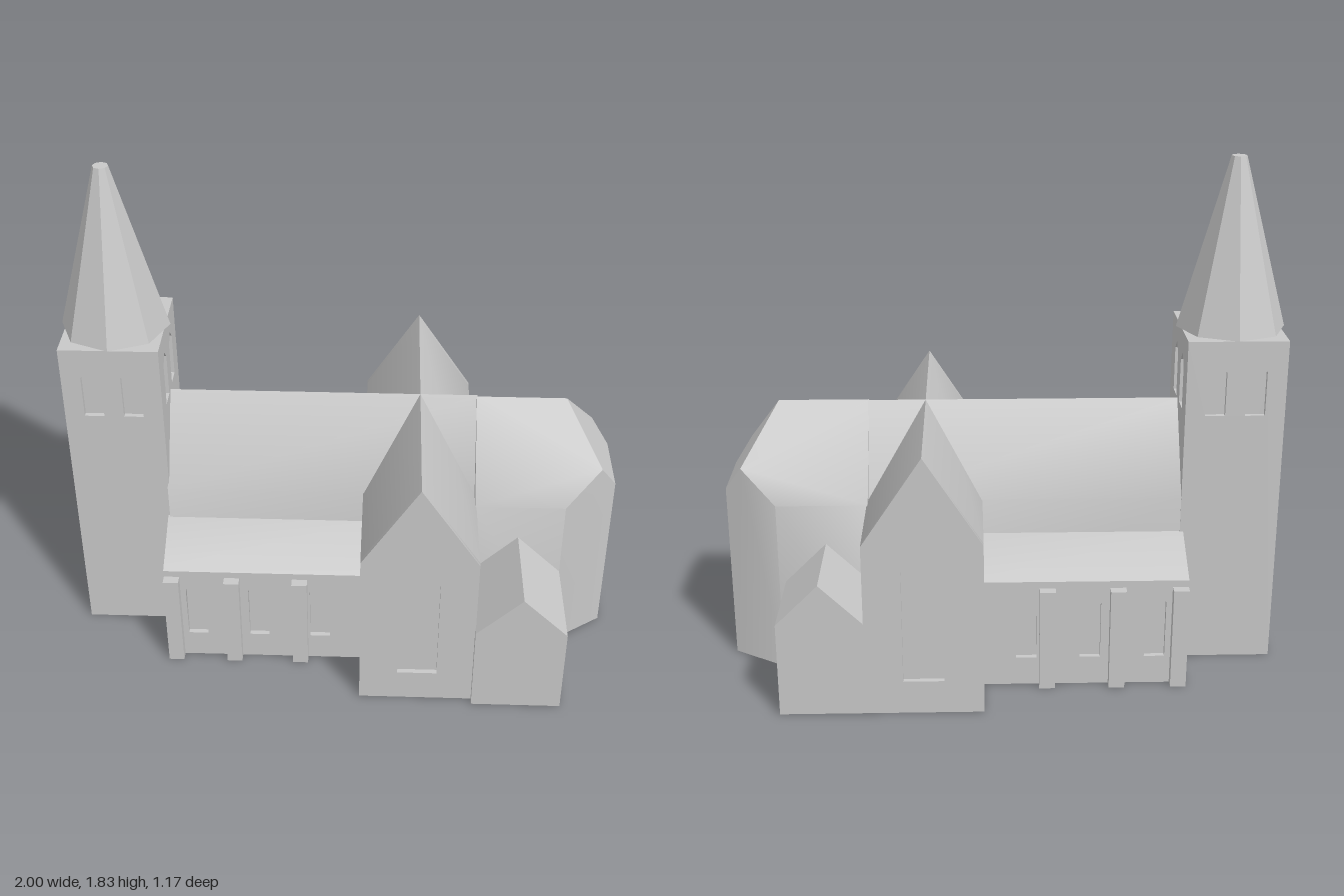
import * as THREE from 'three';
import { toCreasedNormals } from 'three/addons/utils/BufferGeometryUtils.js';
import { ConvexGeometry } from 'three/addons/geometries/ConvexGeometry.js';

const D = 0.018; // depth of window recesses
const FRONT = 0, BACK = Math.PI, EAST = Math.PI / 2, WEST = -Math.PI / 2;

const polygon = pts => new THREE.Shape(pts.map(p => new THREE.Vector2(...p)));
const rect = (u0, u1, top) => [[u0, 0], [u1, 0], [u1, top], [u0, top]];
const gable = (u0, u1, eave, mid, ridge) => [[u0, 0], [u1, 0], [u1, eave], [mid, ridge], [u0, eave]];
// pointed window outline: centre, width, sill, shoulder, peak
const lancet = (u, w, sill, shoulder, peak) =>
  [[u - w / 2, sill], [u + w / 2, sill], [u + w / 2, shoulder], [u, peak], [u - w / 2, shoulder]];

export function createModel() {
  const stone = new THREE.MeshStandardMaterial({ color: 0xc8c8c8 });
  stone.name = 'stone';
  const model = new THREE.Group();
  model.name = 'church';

  const add = (name, geometry) => {
    const mesh = new THREE.Mesh(toCreasedNormals(geometry, 0.7), stone);
    mesh.name = name;
    model.add(mesh);
    return mesh;
  };
  const box = (name, x0, x1, y0, y1, z0, z1) => add(name,
    new THREE.BoxGeometry(x1 - x0, y1 - y0, z1 - z0).translate((x0 + x1) / 2, (y0 + y1) / 2, (z0 + z1) / 2));
  // extrude an outline from a to b along the outward direction given by angle
  const prism = (name, pts, a, b, angle, holes = []) => {
    const shape = polygon(pts);
    shape.holes = holes.map(polygon);
    return add(name, new THREE.ExtrudeGeometry(shape, { depth: b - a, bevelEnabled: false })
      .translate(0, 0, a).rotateY(angle));
  };
  // outer wall layer with window openings, its face at distance dist
  const wall = (name, pts, windows, angle, dist) => prism(name, pts, dist - D, dist, angle, windows);

  // Tower: core, pierced walls on four sides, spire
  const tx0 = -0.98, tx1 = -0.63, tz0 = -0.214, tz1 = 0.163, th = 1.222;
  const tx = (tx0 + tx1) / 2, tz = (tz0 + tz1) / 2;
  box('towerCore', tx0 + D, tx1 - D, 0, th, tz0 + D, tz1 - D);
  const pair = (u, sill, peak) => [-1, 1].map(s => lancet(u + s * 0.07, 0.07, sill, peak - 0.035, peak));
  wall('towerFrontWall', rect(tx0, tx1, th), pair(tx, 0.95, 1.145), FRONT, tz1);
  wall('towerBackWall', rect(-tx1, -tx0, th), pair(-tx, 0.95, 1.145), BACK, -tz0);
  wall('towerEastWall', rect(-tz1 + D, -tz0 - D, th), pair(-tz, 0.95, 1.145), EAST, tx1);
  wall('towerWestWall', rect(tz0 + D, tz1 - D, th), [
    ...pair(tz, 0.95, 1.145), ...pair(tz, 0.56, 0.755), lancet(tz, 0.13, 0.002, 0.19, 0.26),
  ], WEST, -tx0);
  add('spire', new THREE.CylinderGeometry(0.027, 0.193, 0.606, 8).translate(tx, 1.526, tz));

  // Nave, running on through the crossing
  prism('nave', gable(-0.173, 0.212, 0.64, 0.018, 0.95), -0.635, 0.488, EAST);

  // Side aisles with lean-to roofs, windows and buttresses
  for (const [side, angle, outer, inner] of [['front', FRONT, 0.362, 0.173], ['back', BACK, 0.4, 0.212]]) {
    const s = angle === FRONT ? 1 : -1;
    const drop = 0.102 * D / (outer - inner);
    const section = [[-s * 0.1, 0], [-s * (outer - D), 0], [-s * (outer - D), 0.406 + drop], [-s * inner, 0.508], [-s * 0.1, 0.508]];
    prism(side + 'Aisle', section, -0.642, 0.1, EAST);
    const u = [s * -0.642, s * 0.1].sort((a, b) => a - b);
    wall(side + 'AisleWall', rect(u[0], u[1], 0.406),
      [-0.528, -0.298, -0.072].map(x => lancet(s * x, 0.073, 0.107, 0.32, 0.38)), angle, outer);
    // strip of roof over the pierced wall
    prism(side + 'AisleEave',
      [[-s * (outer - D), 0.405], [-s * outer, 0.405], [-s * outer, 0.406], [-s * (outer - D), 0.406 + drop]],
      -0.642, 0.1, EAST);
    for (const x of [-0.613, -0.393, -0.145]) {
      const z = [s * (outer - 0.03), s * (outer + 0.034)].sort((a, b) => a - b);
      box(side + 'Buttress', x - 0.028, x + 0.028, 0, 0.38, z[0], z[1]);
    }
  }

  // Transept with a tall window in each gable
  const tall = u => [lancet(u, 0.142, 0.123, 0.54, 0.595)];
  const frontGable = gable(0.08, 0.49, 0.635, 0.281, 0.95);
  const backGable = gable(-0.49, -0.08, 0.635, -0.281, 0.95);
  prism('transept', frontGable, -0.581 + D, 0.56 - D, FRONT);
  wall('transeptFrontWall', frontGable, tall(0.288), FRONT, 0.56);
  wall('transeptBackWall', backGable, tall(-0.288), BACK, 0.581);

  // Choir with a faceted east end and hipped roof
  const zF = 0.24, zB = -0.255, eF = 0.111, eB = -0.138, zR = -0.01;
  const points = [
    [0.485, 0, zF], [0.485, 0.64, zF], [0.485, 0.95, zR], [0.485, 0.64, zB], [0.485, 0, zB],
    [0.81, 0, zF], [0.81, 0.64, zF], [0.81, 0.95, zR], [0.81, 0.64, zB], [0.81, 0, zB],
    [0.94, 0.752, 0.151], [0.937, 0.752, -0.177],
    [1, 0, eF], [1, 0.66, eF], [1, 0.66, eB], [1, 0, eB],
  ].map(p => new THREE.Vector3(...p));
  const hull = new ConvexGeometry(points);
  // leave the flat end open for the pierced wall
  const p = hull.attributes.position, kept = [];
  for (let i = 0; i < p.count; i += 3) {
    if ([0, 1, 2].every(k => p.getX(i + k) > 0.999)) continue;
    for (let k = 0; k < 3; k++) kept.push(p.getX(i + k), p.getY(i + k), p.getZ(i + k));
  }
  const choir = new THREE.BufferGeometry();
  choir.setAttribute('position', new THREE.Float32BufferAttribute(kept, 3));
  choir.computeVertexNormals();
  add('choir', choir);
  wall('choirEndWall', rect(-eF, -eB, 0.66), [lancet(0.017, 0.095, 0.16, 0.455, 0.495)], EAST, 1);
  box('choirWindowBack', 0.95, 1 - D, 0.1, 0.55, -0.1, 0.08);

  // Low gabled annexes on both sides of the choir
  prism('frontAnnex', gable(0.488, 0.81, 0.345, 0.648, 0.503), 0.1, 0.586, FRONT);
  prism('backAnnex', gable(-0.787, -0.488, 0.345, -0.638, 0.493), 0.1, 0.581, BACK);

  return model;
}
